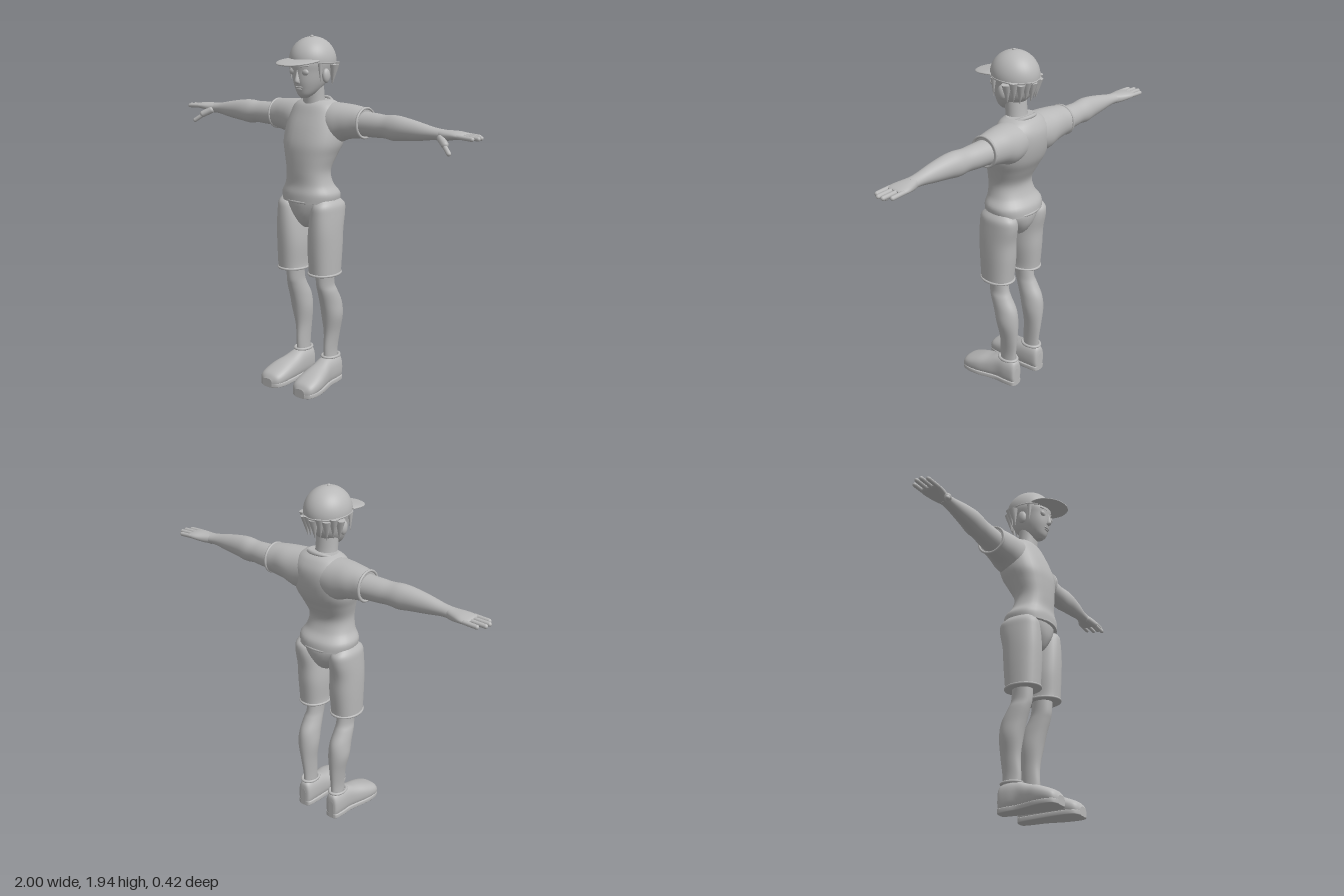
import * as THREE from 'three';

const grey = new THREE.MeshStandardMaterial({ color: 0xb8b8b8, side: THREE.DoubleSide });
grey.name = 'plain grey';

// Catmull-Rom value between b and c
const spline = (a, b, c, d, t) => 0.5 * (2 * b + (c - a) * t + (2 * a - 5 * b + 4 * c - d) * t * t + (3 * b - a - 3 * c + d) * t ** 3);

// Smooth skin through sections [position, aMin, aMax, bMin, bMax] along an axis.
// (a, b) is (x, z) for axis y, (y, z) for axis x and (x, y) for axis z.
function loft(axis, rows, power = 2.3, steps = 5, sides = 32) {
  const rings = [];
  const last = rows.length - 1;
  for (let i = 0; i < last; i++) {
    for (let k = 0; k < steps; k++) {
      rings.push(rows[i].map((v, c) => spline(rows[Math.max(i - 1, 0)][c], v, rows[i + 1][c], rows[Math.min(i + 2, last)][c], k / steps)));
    }
  }
  rings.push(rows[last]);
  const pos = [], index = [];
  const put = (t, a, b) => pos.push(...(axis === 'y' ? [a, t, b] : axis === 'x' ? [t, a, b] : [a, b, t]));
  const tri = (a, b, c) => (axis === 'y' ? index.push(a, c, b) : index.push(a, b, c));
  const ring = ([t, a0, a1, b0, b1]) => {
    for (let j = 0; j < sides; j++) {
      const c = Math.cos((j / sides) * Math.PI * 2), s = Math.sin((j / sides) * Math.PI * 2);
      put(t, (a0 + a1) / 2 + ((a1 - a0) / 2) * Math.sign(c) * Math.abs(c) ** (2 / power),
        (b0 + b1) / 2 + ((b1 - b0) / 2) * Math.sign(s) * Math.abs(s) ** (2 / power));
    }
  };
  rings.forEach(ring);
  for (let i = 0; i < rings.length - 1; i++) {
    for (let j = 0; j < sides; j++) {
      const p = i * sides + j, q = i * sides + ((j + 1) % sides);
      tri(p, q, p + sides);
      tri(q, q + sides, p + sides);
    }
  }
  // flat end caps with their own vertices
  [rings[0], rings[rings.length - 1]].forEach((r, end) => {
    const base = pos.length / 3;
    ring(r);
    put(r[0], (r[1] + r[2]) / 2, (r[3] + r[4]) / 2);
    for (let j = 0; j < sides; j++) {
      const p = base + j, q = base + ((j + 1) % sides);
      if (end) tri(base + sides, p, q);
      else tri(base + sides, q, p);
    }
  });
  const g = new THREE.BufferGeometry();
  g.setAttribute('position', new THREE.Float32BufferAttribute(pos, 3));
  g.setIndex(index);
  g.computeVertexNormals();
  return g;
}

// Rounded rod between two points
function rod(p, q, r) {
  const a = new THREE.Vector3(...p), b = new THREE.Vector3(...q);
  const d = b.clone().sub(a);
  const g = new THREE.CapsuleGeometry(r, d.length() - 2 * r, 6, 12);
  g.applyQuaternion(new THREE.Quaternion().setFromUnitVectors(new THREE.Vector3(0, 1, 0), d.normalize()));
  return g.translate(...a.add(b).multiplyScalar(0.5).toArray());
}

const ball = (x, y, z, rx, ry, rz) => new THREE.SphereGeometry(1, 20, 14).scale(rx, ry, rz).translate(x, y, z);

// Elliptical rolled hem lying in the xz plane
const hem = (rx, rz, tube) => new THREE.TorusGeometry(1, tube / rx, 8, 36).rotateX(Math.PI / 2).scale(rx, rx, rz);

function mirrored(g) {
  const m = g.clone().scale(-1, 1, 1);
  const ix = m.index.array;
  for (let i = 0; i < ix.length; i += 3) [ix[i], ix[i + 1]] = [ix[i + 1], ix[i]];
  return m;
}

export function createModel() {
  const model = new THREE.Group();
  const add = (name, g) => {
    const mesh = new THREE.Mesh(g, grey);
    mesh.name = name;
    model.add(mesh);
  };
  const pair = (name, g) => {
    add(name + 'Left', g);
    add(name + 'Right', mirrored(g));
  };

  // Shirt
  add('shirtBody', loft('y', [
    [1.055, -0.158, 0.158, -0.17, 0.1], [1.1, -0.163, 0.163, -0.162, 0.098], [1.15, -0.135, 0.135, -0.125, 0.088],
    [1.22, -0.124, 0.124, -0.11, 0.09], [1.3, -0.145, 0.145, -0.148, 0.09], [1.37, -0.168, 0.168, -0.185, 0.084],
    [1.45, -0.17, 0.17, -0.205, 0.06], [1.52, -0.16, 0.16, -0.205, 0.03], [1.57, -0.13, 0.13, -0.18, 0.006],
    [1.595, -0.085, 0.085, -0.15, -0.02]]));
  add('shirtHem', hem(0.157, 0.133, 0.007).translate(0, 1.06, -0.035));
  add('collar', hem(0.086, 0.085, 0.011).rotateX(0.38).translate(0, 1.568, -0.07));
  pair('sleeve', loft('x', [
    [0.05, 1.39, 1.585, -0.2, 0], [0.13, 1.37, 1.585, -0.2, 0.005], [0.2, 1.395, 1.582, -0.197, -0.01],
    [0.26, 1.405, 1.576, -0.19, -0.024], [0.305, 1.412, 1.568, -0.19, -0.03]], 2.1));
  pair('sleeveHem', hem(0.078, 0.08, 0.007).rotateZ(Math.PI / 2).translate(0.304, 1.49, -0.11));

  // Arms and hands
  pair('arm', loft('x', [
    [0.28, 1.42, 1.552, -0.178, -0.042], [0.38, 1.422, 1.548, -0.167, -0.045], [0.44, 1.425, 1.545, -0.16, -0.045],
    [0.5, 1.418, 1.55, -0.158, -0.04], [0.56, 1.425, 1.545, -0.15, -0.04], [0.65, 1.435, 1.53, -0.138, -0.048],
    [0.74, 1.449, 1.512, -0.13, -0.06], [0.8, 1.45, 1.506, -0.135, -0.062]], 2));
  pair('palm', loft('x', [
    [0.77, 1.452, 1.506, -0.128, -0.064], [0.81, 1.452, 1.505, -0.145, -0.058], [0.86, 1.462, 1.504, -0.165, -0.054],
    [0.9, 1.468, 1.498, -0.166, -0.054], [0.912, 1.474, 1.492, -0.16, -0.06]]));
  [[-0.156, 0.97], [-0.124, 0.998], [-0.094, 1], [-0.065, 0.982]].forEach(([z, tip], i) =>
    pair('finger' + (i + 1), rod([0.88, 1.484, z], [tip, 1.479, z], 0.0115)));
  pair('thumbBase', rod([0.78, 1.475, -0.075], [0.85, 1.435, -0.03], 0.019));
  pair('thumb', rod([0.82, 1.45, -0.045], [0.885, 1.4, -0.008], 0.012));

  // Shorts
  add('shortsSeat', loft('y', [
    [0.905, -0.02, 0.02, -0.07, 0.02], [0.93, -0.05, 0.05, -0.11, 0.05], [0.98, -0.09, 0.09, -0.145, 0.076],
    [1.03, -0.13, 0.13, -0.158, 0.085], [1.07, -0.15, 0.15, -0.155, 0.085]], 2.1));
  pair('shortsLeg', loft('y', [
    [0.655, 0.032, 0.186, -0.113, 0.078], [0.69, 0.034, 0.187, -0.115, 0.08], [0.8, 0.028, 0.19, -0.125, 0.086],
    [0.9, 0.034, 0.19, -0.13, 0.088], [0.99, 0.045, 0.186, -0.148, 0.084], [1.04, 0.06, 0.18, -0.145, 0.075],
    [1.07, 0.085, 0.16, -0.11, 0.045]]));
  pair('shortsHem', hem(0.08, 0.097, 0.007).translate(0.109, 0.661, -0.017));

  // Legs and shoes
  pair('leg', loft('y', [
    [0.12, 0.07, 0.13, -0.135, -0.035], [0.2, 0.07, 0.128, -0.138, -0.032], [0.3, 0.064, 0.142, -0.148, -0.035],
    [0.4, 0.052, 0.164, -0.152, -0.02], [0.48, 0.054, 0.163, -0.142, 0], [0.55, 0.06, 0.158, -0.105, 0.022],
    [0.6, 0.062, 0.15, -0.085, 0.034], [0.7, 0.055, 0.16, -0.075, 0.037]], 2));
  const shoe = [
    [-0.153, 0.085, 0.12, 0.02, 0.11], [-0.143, 0.062, 0.138, 0, 0.15], [-0.09, 0.052, 0.148, 0, 0.162],
    [-0.03, 0.047, 0.152, 0, 0.157], [0.03, 0.043, 0.168, 0, 0.135], [0.09, 0.04, 0.185, 0, 0.118],
    [0.15, 0.042, 0.19, 0, 0.095], [0.19, 0.055, 0.18, 0, 0.075], [0.209, 0.085, 0.15, 0.01, 0.05]];
  pair('shoe', loft('z', shoe, 2.4));
  pair('sole', loft('z', shoe.map(([z, a, b]) => [z, a, b, 0, 0.03]), 6));
  pair('shoeCuff', hem(0.042, 0.055, 0.008).translate(0.1, 0.158, -0.085));

  // Neck and head
  add('neck', loft('y', [[1.5, -0.07, 0.07, -0.13, 0], [1.56, -0.064, 0.064, -0.118, 0], [1.61, -0.06, 0.06, -0.108, 0.002],
    [1.7, -0.06, 0.06, -0.1, 0.01]], 2));
  add('head', loft('y', [
    [1.612, -0.018, 0.018, 0, 0.045], [1.63, -0.04, 0.04, -0.04, 0.06], [1.66, -0.061, 0.061, -0.09, 0.07],
    [1.7, -0.078, 0.078, -0.13, 0.08], [1.75, -0.09, 0.09, -0.15, 0.084], [1.8, -0.1, 0.1, -0.158, 0.085],
    [1.85, -0.09, 0.09, -0.14, 0.06]], 2.1));
  add('nose', loft('y', [[1.69, -0.012, 0.012, 0.06, 0.088], [1.702, -0.014, 0.014, 0.06, 0.1], [1.735, -0.008, 0.008, 0.06, 0.092],
    [1.76, -0.005, 0.005, 0.06, 0.086]], 2, 4, 16));
  add('upperLip', ball(0, 1.671, 0.07, 0.024, 0.005, 0.008));
  add('lowerLip', ball(0, 1.66, 0.067, 0.018, 0.005, 0.008));
  pair('eye', ball(0.042, 1.75, 0.069, 0.022, 0.017, 0.012));
  pair('eyebrow', rod([0.018, 1.779, 0.082], [0.064, 1.784, 0.064], 0.005));
  pair('ear', ball(0.096, 1.728, -0.038, 0.017, 0.038, 0.026));

  // Hair tufts showing below the cap
  const tuft = (r, h) => new THREE.ConeGeometry(r, h, 10).rotateX(Math.PI);
  pair('sideburn', tuft(0.016, 0.1).scale(0.8, 1, 1).translate(0.1, 1.745, 0.014));
  for (let i = 0; i < 9; i++) {
    const a = (i / 8 - 0.5) * 2.3;
    add('hairTuft' + (i + 1), tuft(0.026, 0.11).rotateX(-0.12).translate(0, 0, -0.118).rotateY(a)
      .translate(0, 1.73 + 0.012 * (i % 2), -0.035));
  }

  // Cap
  add('capDome', new THREE.SphereGeometry(1, 40, 20, 0, Math.PI * 2, 0, Math.PI * 0.53)
    .scale(0.121, 0.127, 0.134).rotateX(-0.06).translate(0, 1.802, -0.043));
  add('capButton', ball(0, 1.93, -0.036, 0.01, 0.006, 0.01));
  add('capBand', hem(0.12, 0.133, 0.004).rotateX(-0.06).translate(0, 1.797, -0.043));
  add('capBrim', loft('z', [
    [0.03, -0.108, 0.108, 1.797, 1.82], [0.07, -0.114, 0.114, 1.795, 1.818], [0.11, -0.11, 0.11, 1.793, 1.812],
    [0.145, -0.092, 0.092, 1.79, 1.806], [0.17, -0.07, 0.07, 1.788, 1.801], [0.186, -0.044, 0.044, 1.787, 1.797],
    [0.195, -0.012, 0.012, 1.788, 1.794]]));

  return model;
}
